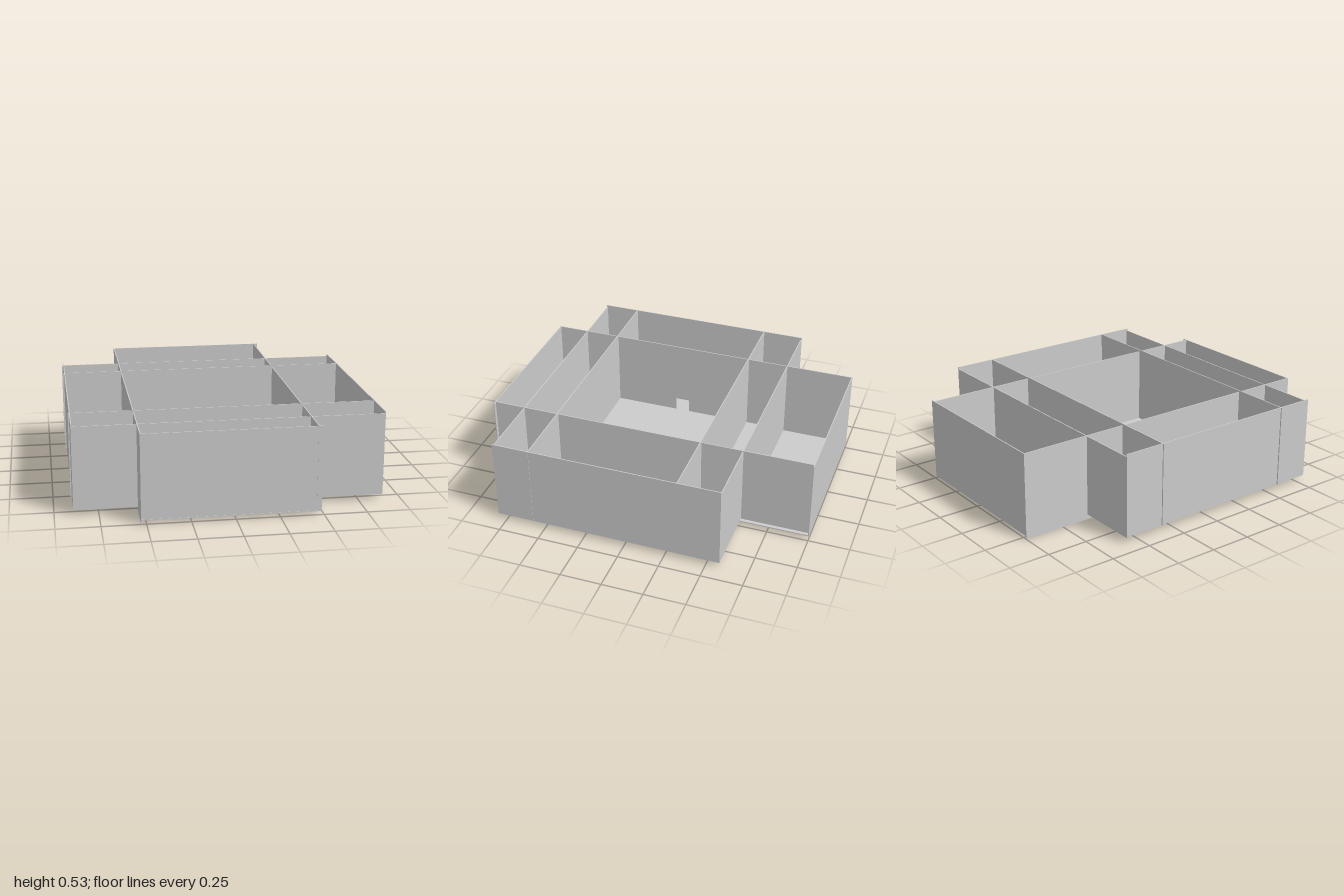
import * as THREE from 'three';

const T = 0.006; // sheet thickness
const NOTCH_TOP = 0.12;

export function createModel() {
  const tray = new THREE.Group();
  tray.name = 'dividerTray';
  const material = new THREE.MeshStandardMaterial({ color: 0xcccccc, flatShading: true });

  function add(name, geometry) {
    const mesh = new THREE.Mesh(geometry, material);
    mesh.name = name;
    tray.add(mesh);
    return mesh;
  }

  // Upright sheet from a to b, with notches cut into its bottom edge
  function sheet(a, b, bottom, top, notches = [], half = 0.045) {
    const s = new THREE.Shape();
    s.moveTo(a, bottom);
    for (const n of notches) {
      s.lineTo(n - half, bottom);
      s.lineTo(n - half, NOTCH_TOP);
      s.lineTo(n + half, NOTCH_TOP);
      s.lineTo(n + half, bottom);
    }
    s.lineTo(b, bottom);
    s.lineTo(b, top);
    s.lineTo(a, top);
    s.closePath();
    return new THREE.ExtrudeGeometry(s, { depth: T, bevelEnabled: false }).translate(0, 0, -T / 2);
  }

  // Wall running across the tray at a given z
  function crossWall(name, z, a, b, bottom, top, notches) {
    add(name, sheet(a, b, bottom, top, notches, 0.05)).position.z = z;
  }

  // Wall running front to back at a given x
  function longWall(name, x, a, b, bottom, top, notches = []) {
    const flipped = notches.map((n) => -n).sort((p, q) => p - q);
    const mesh = add(name, sheet(-b, -a, bottom, top, flipped));
    mesh.rotation.y = Math.PI / 2;
    mesh.position.x = x;
  }

  function floor(name, x0, x1, y, z0, z1) {
    add(name, new THREE.BoxGeometry(x1 - x0, T, z1 - z0))
      .position.set((x0 + x1) / 2, y, (z0 + z1) / 2);
  }

  // Two crossing floor sheets
  floor('longFloor', -0.53, 0.485, 0.024, -1, 1);
  floor('wideFloor', -0.89, 0.89, 0.033, -0.58, 0.805);

  // End walls of the long box
  crossWall('frontWall', 0.995, -0.53, 0.485, 0.02, 0.52);
  crossWall('backWall', -0.997, -0.53, 0.485, 0.02, 0.52);

  // Cross walls, with a cable notch in the middle
  crossWall('frontWingWall', 0.802, -0.89, 0.89, 0.03, 0.517, [-0.02]);
  crossWall('frontDivider', 0.58, -0.9, 0.895, 0.03, 0.53, [-0.02]);
  crossWall('backDivider', -0.323, -0.9, 0.895, 0.03, 0.53, [-0.02]);
  crossWall('backWingWall', -0.577, -0.9, 0.89, 0.03, 0.517, [-0.02]);

  // Long walls, with a notch into each wing compartment
  const notches = [-0.47, 0.125, 0.72];
  longWall('rightDivider', -0.527, -1, 1, 0, 0.52, notches);
  longWall('leftDivider', 0.46, -1, 1, 0.02, 0.52, notches);

  // Outer walls of the wings
  longWall('rightWingWall', -0.89, -0.58, 0.805, 0.03, 0.53);
  longWall('leftWingWall', 0.89, -0.58, 0.805, 0.03, 0.53);

  return tray;
}
